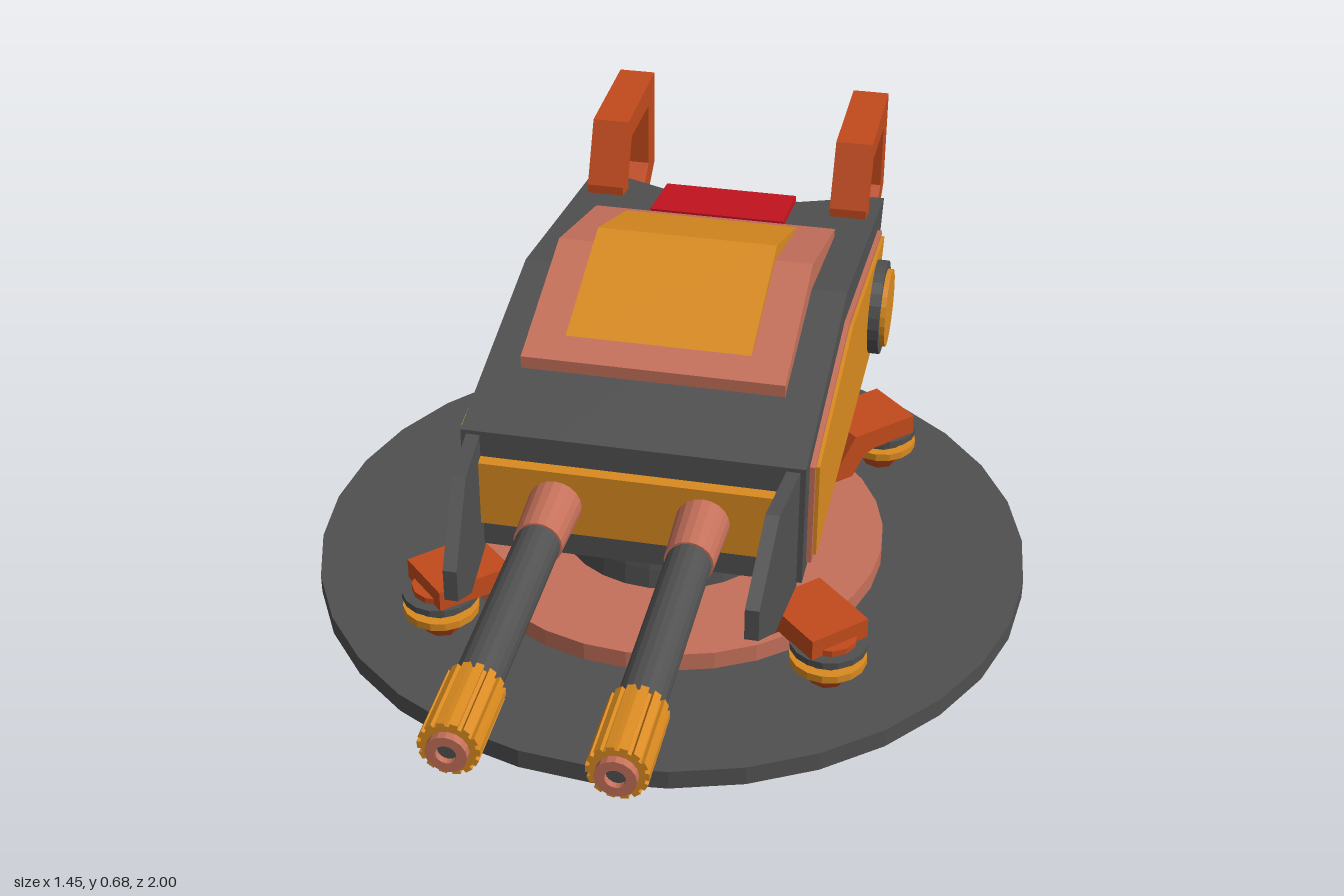
import * as THREE from 'three';

const mat = (color) => new THREE.MeshStandardMaterial({ color, flatShading: true });
const GREY = mat(0x505050), GOLD = mat(0xd98a1f), PINK = mat(0xc4705a);
const ORANGE = mat(0xc24a1c), RED = mat(0xc4131f);
const AXIS_Z = -0.12; // turntable centre

function add(parent, name, geometry, material, x = 0, y = 0, z = 0) {
  const mesh = new THREE.Mesh(geometry, material);
  mesh.name = name;
  mesh.position.set(x, y, z);
  parent.add(mesh);
  return mesh;
}

// Prism from a [z, y] side profile, centred on x = 0
function prism(points, width) {
  const shape = new THREE.Shape(points.map(([z, y]) => new THREE.Vector2(z, y)));
  const g = new THREE.ExtrudeGeometry(shape, { depth: width, bevelEnabled: false });
  return g.translate(0, 0, -width / 2).rotateY(-Math.PI / 2);
}

const disc = (r, h, sides = 32, rTop = r) => new THREE.CylinderGeometry(rTop, r, h, sides);
const barrelTube = (rFront, rBack, len, sides = 20) =>
  new THREE.CylinderGeometry(rFront, rBack, len, sides).rotateX(Math.PI / 2);

// Hull lofted across x, its rear edge notched forward in the middle
function hullGeometry() {
  const stations = [[-0.325, 0], [-0.3, 0], [-0.15, 0.08], [0.15, 0.08], [0.3, 0], [0.325, 0]];
  const pos = [], idx = [], n = 5;
  for (const [x, s] of stations) {
    const profile = [[0.255, 0.25], [0.255, 0.505], [-0.233, 0.6],
      [-0.828 + s, 0.505 + s * 0.16], [-0.667 + s, 0.225]];
    for (const [z, y] of profile) pos.push(x, y, z);
  }
  const last = (stations.length - 1) * n;
  for (let i = 0; i < last; i += n) {
    for (let j = 0; j < n; j++) {
      const k = (j + 1) % n;
      const a = i + j, b = i + k, c = i + n + k, d = i + n + j;
      idx.push(a, d, c, a, c, b);
    }
  }
  for (let k = 1; k < n - 1; k++) {
    idx.push(0, k, k + 1, last, last + k + 1, last + k);
  }
  const g = new THREE.BufferGeometry();
  g.setAttribute('position', new THREE.Float32BufferAttribute(pos, 3));
  g.setIndex(idx);
  const flat = g.toNonIndexed();
  flat.computeVertexNormals();
  return flat;
}

// Bracket leg with a stacked foot, reaching out along +z
function makeLeg() {
  const leg = new THREE.Group();
  leg.name = 'leg';
  add(leg, 'legBracket', prism([[0.35, 0.07], [0.42, 0.175], [0.575, 0.175], [0.575, 0.13],
    [0.47, 0.13], [0.445, 0.12], [0.41, 0.07]], 0.13), ORANGE);
  add(leg, 'footCollar', disc(0.055, 0.02, 12), ORANGE, 0, 0.135, 0.54);
  add(leg, 'footUpperRing', disc(0.075, 0.014, 16), GREY, 0, 0.125, 0.54);
  add(leg, 'footCore', disc(0.055, 0.04, 12), GREY, 0, 0.105, 0.54);
  add(leg, 'footLowerRing', disc(0.075, 0.016, 16), GOLD, 0, 0.092, 0.54);
  add(leg, 'footTip', disc(0.035, 0.045, 8, 0.06), ORANGE, 0, 0.062, 0.54);
  return leg;
}

// Gun barrel with a ribbed muzzle, pointing along +z
function makeGun() {
  const gun = new THREE.Group();
  gun.name = 'gun';
  add(gun, 'gunSleeve', barrelTube(0.046, 0.052, 0.16), PINK, 0, 0, 0.33);
  add(gun, 'gunBarrel', barrelTube(0.042, 0.042, 0.5), GREY, 0, 0, 0.6);
  add(gun, 'muzzle', barrelTube(0.047, 0.047, 0.155), GOLD, 0, 0, 0.9075);
  for (let i = 0; i < 14; i++) {
    const a = (i / 14) * Math.PI * 2;
    const rib = add(gun, 'muzzleRib', new THREE.BoxGeometry(0.012, 0.014, 0.16), GOLD,
      Math.cos(a) * 0.047, Math.sin(a) * 0.047, 0.905);
    rib.rotation.z = a;
  }
  const lip = new THREE.Shape().absarc(0, 0, 0.036, 0, Math.PI * 2);
  lip.holes.push(new THREE.Path().absarc(0, 0, 0.018, 0, Math.PI * 2, true));
  add(gun, 'muzzleLip', new THREE.ExtrudeGeometry(lip,
    { depth: 0.02, bevelEnabled: false, curveSegments: 8 }), PINK, 0, 0, 0.98);
  add(gun, 'muzzleBore', barrelTube(0.019, 0.019, 0.01, 12), GREY, 0, 0, 0.983);
  return gun;
}

export function createModel() {
  const model = new THREE.Group();
  model.name = 'turret';

  // Turntable
  const base = new THREE.Group();
  base.name = 'base';
  base.position.z = AXIS_Z;
  model.add(base);
  add(base, 'basePlate', disc(0.725, 0.04), GREY, 0, 0.02);
  add(base, 'baseRing', disc(0.435, 0.04), PINK, 0, 0.058);
  const neck = [[0.228, 0.07], [0.222, 0.12], [0.21, 0.18], [0.185, 0.26]];
  add(base, 'neck', new THREE.LatheGeometry(neck.map(([r, y]) => new THREE.Vector2(r, y)), 28), GREY);
  for (let i = 0; i < 4; i++) {
    const leg = makeLeg();
    leg.rotation.y = Math.PI / 4 + (i * Math.PI) / 2;
    base.add(leg);
  }

  // Hull and its front, roof and rear panels
  add(model, 'hull', hullGeometry(), GREY);
  add(model, 'frontPanel', new THREE.BoxGeometry(0.58, 0.135, 0.04), GOLD, 0, 0.383, 0.26);
  add(model, 'roofPlate', prism([[0.075, 0.53], [0.075, 0.565], [-0.235, 0.655],
    [-0.55, 0.567], [-0.55, 0.54], [-0.235, 0.585]], 0.51), PINK);
  add(model, 'roofHatch', prism([[-0.03, 0.585], [0.02, 0.588], [-0.255, 0.677],
    [-0.51, 0.584], [-0.51, 0.565], [-0.255, 0.63]].slice(1), 0.36), GOLD);
  add(model, 'rearDeckPanel', prism([[-0.57, 0.53], [-0.57, 0.561], [-0.745, 0.533],
    [-0.745, 0.51]], 0.285), RED);

  // Side parts, mirrored
  const panel = [[0.208, 0.265], [0.208, 0.48], [-0.217, 0.545], [-0.735, 0.475], [-0.605, 0.255]];
  const inset = panel.map(([z, y]) => [-0.24 + (z + 0.24) * 0.972, 0.4 + (y - 0.4) * 0.92]);
  for (const s of [1, -1]) {
    const side = new THREE.Group();
    side.name = s > 0 ? 'leftSide' : 'rightSide';
    model.add(side);
    add(side, 'sidePanelFrame', prism(panel, 0.03), PINK, s * 0.32);
    add(side, 'sidePanel', prism(inset, 0.03), GOLD, s * 0.327);

    // Round side hub
    const hubs = [['hubRing', 0.1, 0.06, GREY, 0.335], ['hubCap', 0.083, 0.06, GOLD, 0.346]];
    for (const [name, r, h, m, x] of hubs) {
      add(side, name, disc(r, h, 24).rotateZ(Math.PI / 2), m, s * x, 0.375, -0.58);
    }

    // Front shield, leaning inward towards its tip
    const shield = prism([[0.25, 0.24], [0.25, 0.497], [0.395, 0.497], [0.518, 0.375],
      [0.518, 0.31], [0.4, 0.24]], 0.026);
    const p = shield.attributes.position;
    for (let i = 0; i < p.count; i++) p.setX(i, p.getX(i) + s * (0.302 - (p.getZ(i) - 0.25) * 0.1));
    shield.computeVertexNormals();
    add(side, 'frontShield', shield, GREY);

    // Rear handle and tail block
    add(side, 'rearHandle', prism([[-0.675, 0.52], [-0.675, 0.548], [-0.737, 0.675], [-1, 0.675],
      [-1, 0.455], [-0.785, 0.31], [-0.72, 0.27], [-0.72, 0.33], [-0.785, 0.37], [-0.937, 0.48],
      [-0.937, 0.622], [-0.768, 0.628], [-0.73, 0.545], [-0.73, 0.51]], 0.078), ORANGE, s * 0.265);
    add(side, 'tailBlock', prism([[-0.785, 0.44], [-0.785, 0.315], [-0.66, 0.315], [-0.7, 0.44]],
      0.06), RED, s * 0.19);

    const gun = makeGun();
    gun.position.set(s * 0.14, 0.38, 0);
    model.add(gun);
  }
  return model;
}
